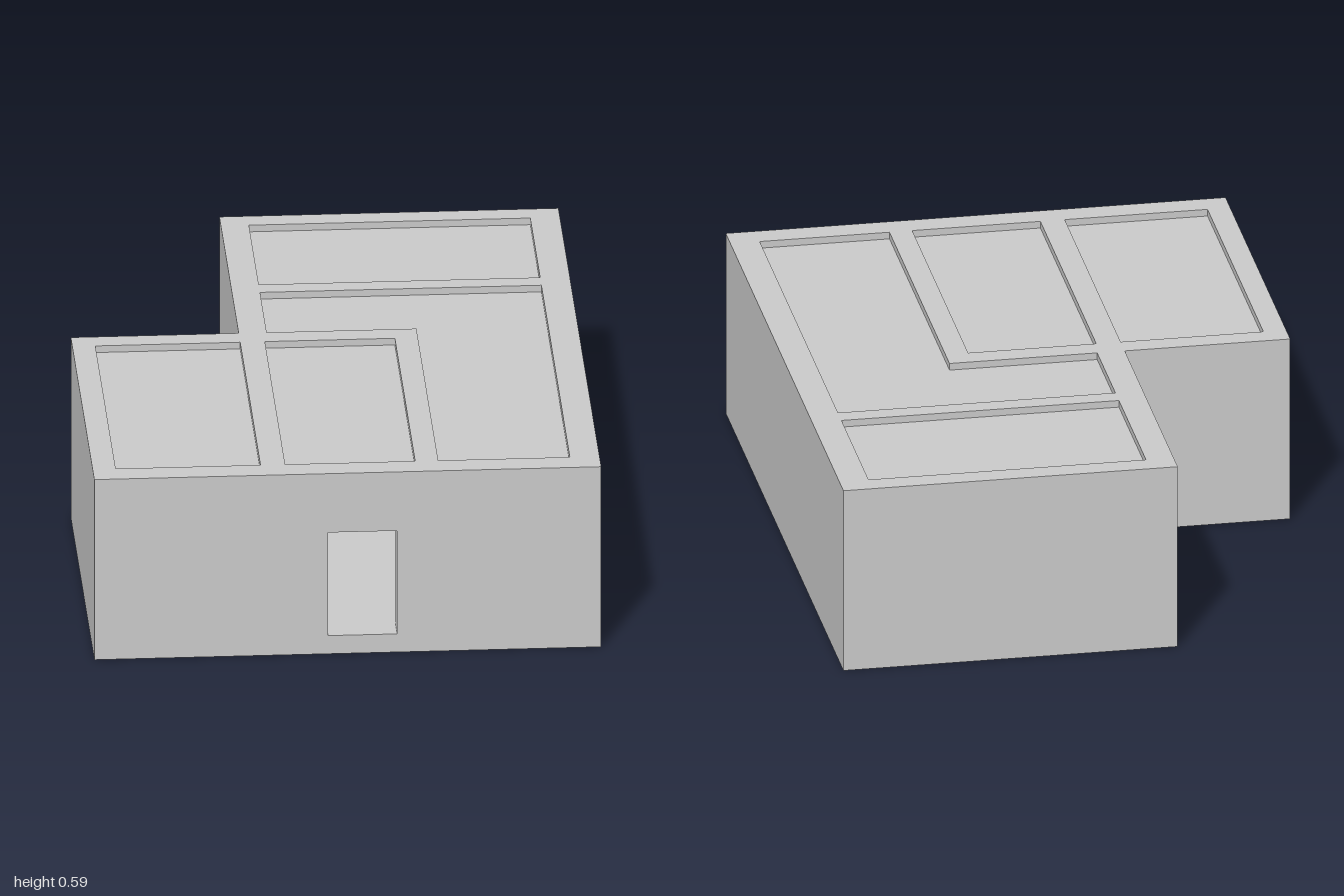
import * as THREE from 'three';

const material = new THREE.MeshStandardMaterial({ color: 0xcccccc, flatShading: true });

// Key heights
const FLOOR = 0.06, SILL = 0.14, DOOR_TOP = 0.4, CEILING = 0.53, PANEL_TOP = 0.572, TOP = 0.594;

// Plans are lists of [x, z] corners
const rect = (x0, x1, z0, z1) => [[x0, z0], [x1, z0], [x1, z1], [x0, z1]];
const footprint = [[-0.77, 1], [0.77, 1], [0.77, -1], [-0.26, -1], [-0.26, -0.1], [-0.77, -0.1]];
const leftBay = rect(-0.7, -0.26, -0.03, 0.92);
const entryBay = rect(-0.185, 0.21, -0.03, 0.92);
const backBay = rect(-0.175, 0.68, -0.93, -0.47);
const cornerBay = [[-0.175, -0.41], [0.68, -0.41], [0.68, 0.92], [0.28, 0.92], [0.28, -0.1], [-0.175, -0.1]];

// Footprint whose front edge runs in through the doorway and around the entry bay;
// `partition` holds extra corners along the partition side of that bay.
const withDoor = (partition = []) => [
  [-0.77, 1], [-0.06, 1], [-0.06, 0.92], [-0.185, 0.92], ...partition,
  [-0.185, -0.03], [0.21, -0.03], [0.21, 0.92], [0.15, 0.92], [0.15, 1],
  ...footprint.slice(1),
];

// Opening through the partition and around the left bay
const throughPartition = [
  [-0.185, 0.85], [-0.26, 0.85], [-0.26, 0.92], [-0.7, 0.92],
  [-0.7, -0.03], [-0.26, -0.03], [-0.26, 0.2], [-0.185, 0.2],
];

const toPoints = (plan) => plan.map(([x, z]) => new THREE.Vector2(x, -z));

// Extrude a plan upward between two heights
function slab(name, plan, y0, y1, holes = []) {
  const shape = new THREE.Shape(toPoints(plan));
  shape.holes = holes.map((h) => new THREE.Path(toPoints(h)));
  const geometry = new THREE.ExtrudeGeometry(shape, { depth: y1 - y0, bevelEnabled: false });
  geometry.rotateX(-Math.PI / 2).translate(0, y0, 0);
  const mesh = new THREE.Mesh(geometry, material);
  mesh.name = name;
  return mesh;
}

export function createModel() {
  const model = new THREE.Group();
  model.name = 'building';

  // Ground slab
  model.add(slab('floorSlab', footprint, 0, FLOOR));

  // Walls in three bands: below the sill, beside the doorway, above the doorway
  const walls = new THREE.Group();
  walls.name = 'walls';
  walls.add(
    slab('lowerWalls', withDoor(), FLOOR, SILL, [leftBay, cornerBay, backBay]),
    slab('doorwayWalls', withDoor(throughPartition), SILL, DOOR_TOP, [cornerBay, backBay]),
    slab('upperWalls', footprint, DOOR_TOP, TOP, [leftBay, entryBay, cornerBay, backBay]),
  );
  model.add(walls);

  // Roof panels sunk just below the wall tops
  const bays = { leftBay, entryBay, cornerBay, backBay };
  for (const [name, plan] of Object.entries(bays)) {
    model.add(slab(`${name}RoofPanel`, plan, CEILING, PANEL_TOP));
  }
  return model;
}
